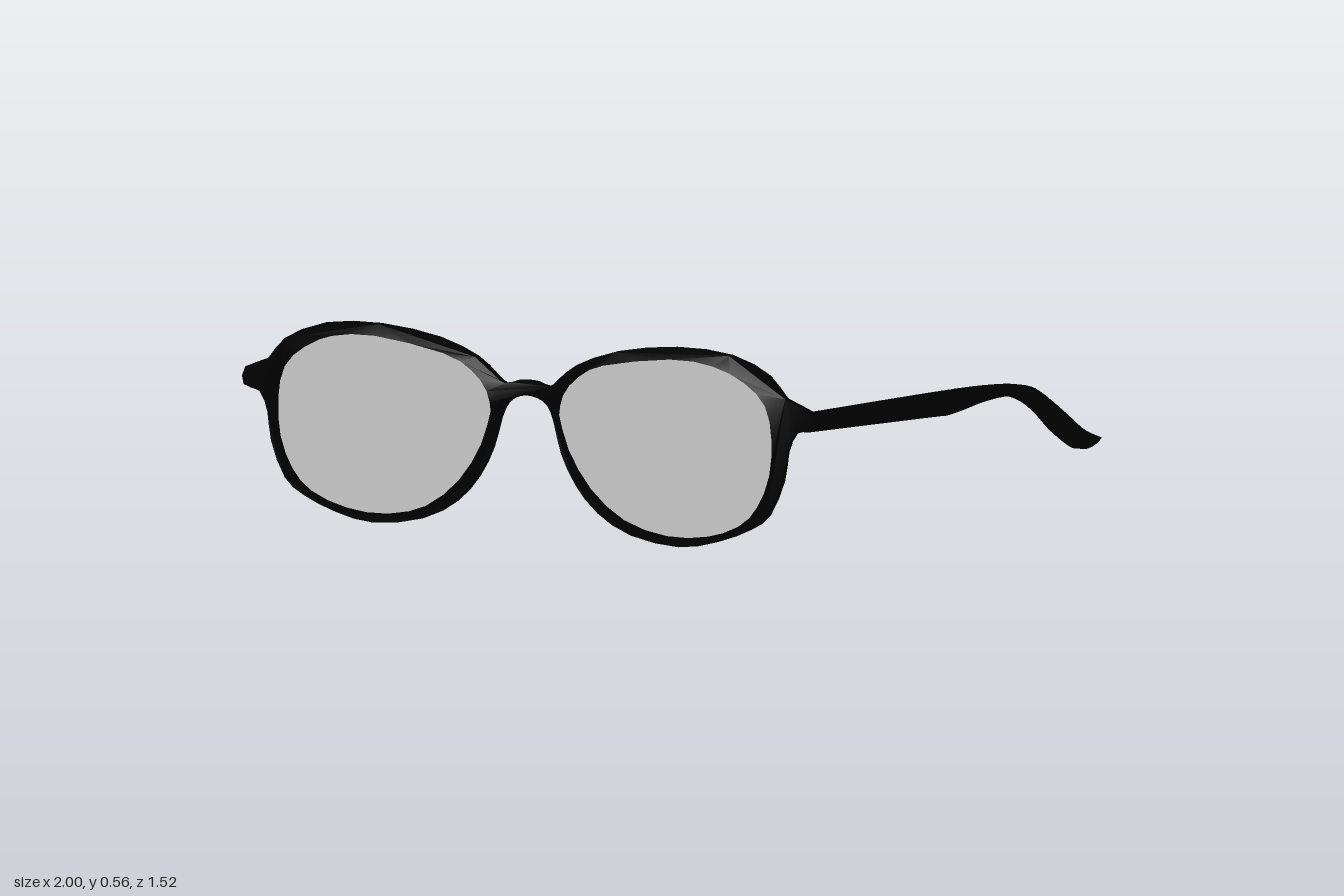
import * as THREE from 'three';
import { toCreasedNormals } from 'three/addons/utils/BufferGeometryUtils.js';

const BACK = 0.715; // z of the back of the frame front
const toVectors = (pairs) => pairs.map(([x, y]) => new THREE.Vector2(x, y));
const mirrored = (points) => points.map((p) => new THREE.Vector2(-p.x, p.y)).reverse();

// Half of the frame outline, from the bridge underside round to the bridge top
const OUTLINE = toVectors([
  [0, 0.392], [0.03, 0.387], [0.062, 0.368], [0.085, 0.325], [0.11, 0.24], [0.155, 0.155],
  [0.225, 0.08], [0.33, 0.025], [0.48, 0.003], [0.6, 0.025], [0.7, 0.065], [0.76, 0.11],
  [0.805, 0.21], [0.818, 0.29], [0.845, 0.345], [0.895, 0.36], [0.89, 0.41], [0.815, 0.44],
  [0.76, 0.5], [0.64, 0.55], [0.465, 0.56], [0.28, 0.535], [0.16, 0.49], [0.105, 0.448],
  [0.07, 0.422], [0.03, 0.433], [0, 0.435],
]);

// Lens opening
const OPENING = toVectors([
  [0.1, 0.345], [0.112, 0.4], [0.16, 0.455], [0.25, 0.497], [0.465, 0.53], [0.6, 0.52], [0.7, 0.48],
  [0.765, 0.42], [0.785, 0.33], [0.778, 0.225], [0.74, 0.135], [0.68, 0.077], [0.57, 0.038],
  [0.44, 0.03], [0.305, 0.065], [0.2, 0.145], [0.13, 0.25],
]);

// Temple arm side profile as [z, y]
const ARM_TOP = toVectors([
  [0.72, 0.4], [0, 0.375], [-0.26, 0.36], [-0.385, 0.343], [-0.465, 0.31], [-0.59, 0.235],
  [-0.67, 0.185], [-0.76, 0.15],
]);
const ARM_BOTTOM = toVectors([
  [-0.735, 0.138], [-0.7, 0.13], [-0.65, 0.135], [-0.545, 0.195], [-0.465, 0.255], [-0.385, 0.3],
  [-0.29, 0.325], [-0.165, 0.325], [-0.06, 0.315], [0.025, 0.31], [0.1, 0.315], [0.72, 0.35],
]);

// Frame front: flat at the back, rims raised and sloped at the front
function frameFrontGeometry(lensPoints) {
  const half = new THREE.SplineCurve(OUTLINE).getPoints((OUTLINE.length - 1) * 2);
  const shape = new THREE.Shape([...half, ...mirrored(half).slice(1, -1)]);
  shape.holes = [new THREE.Path(lensPoints), new THREE.Path(mirrored(lensPoints))];
  const geometry = new THREE.ExtrudeGeometry(shape, { depth: 0.045, bevelEnabled: false });

  const pos = geometry.attributes.position;
  for (let i = 0; i < pos.count; i++) {
    if (pos.getZ(i) < 0.02) continue;
    const x = Math.abs(pos.getX(i));
    const y = pos.getY(i);
    const onOpening = lensPoints.some((p) => Math.hypot(p.x - x, p.y - y) < 1e-4);
    // Bridge and end pieces are thinner than the rims
    const rim = THREE.MathUtils.smoothstep(x, 0.05, 0.11) * (1 - THREE.MathUtils.smoothstep(x, 0.78, 0.85));
    pos.setZ(i, onOpening ? 0.033 + 0.012 * rim : 0.014 + 0.01 * rim);
  }
  geometry.translate(0, 0, BACK);
  return toCreasedNormals(geometry, 0.5);
}

// Temple arm, splayed outwards towards the tip
function armGeometry(side) {
  const width = 0.03;
  const shape = new THREE.Shape();
  shape.moveTo(ARM_TOP[0].x, ARM_TOP[0].y);
  shape.splineThru(ARM_TOP.slice(1));
  shape.lineTo(ARM_BOTTOM[0].x, ARM_BOTTOM[0].y);
  shape.splineThru(ARM_BOTTOM.slice(1));
  const geometry = new THREE.ExtrudeGeometry(shape, { depth: width, bevelEnabled: false, curveSegments: 3 });
  geometry.translate(0, 0, -width / 2);
  geometry.rotateY(-Math.PI / 2);

  const pos = geometry.attributes.position;
  for (let i = 0; i < pos.count; i++) {
    pos.setX(i, pos.getX(i) + side * (0.865 + (BACK - pos.getZ(i)) * 0.081));
  }
  return toCreasedNormals(geometry, 0.5);
}

export function createModel() {
  const model = new THREE.Group();
  model.name = 'eyeglasses';
  const black = new THREE.MeshStandardMaterial({ color: 0x000000 });
  const glass = new THREE.MeshStandardMaterial({ color: 0xc6c6c6, side: THREE.DoubleSide });

  const add = (name, geometry, material) => {
    const mesh = new THREE.Mesh(geometry, material);
    mesh.name = name;
    model.add(mesh);
    return mesh;
  };

  const lensPoints = new THREE.SplineCurve([...OPENING, OPENING[0]]).getPoints(OPENING.length * 2).slice(0, -1);
  add('frameFront', frameFrontGeometry(lensPoints), black);

  for (const [name, side] of [['left', 1], ['right', -1]]) {
    const points = side > 0 ? lensPoints : mirrored(lensPoints);
    add(name + 'Lens', new THREE.ShapeGeometry(new THREE.Shape(points)), glass).position.z = BACK + 0.015;
    add(name + 'TempleArm', armGeometry(side), black);
  }
  return model;
}
